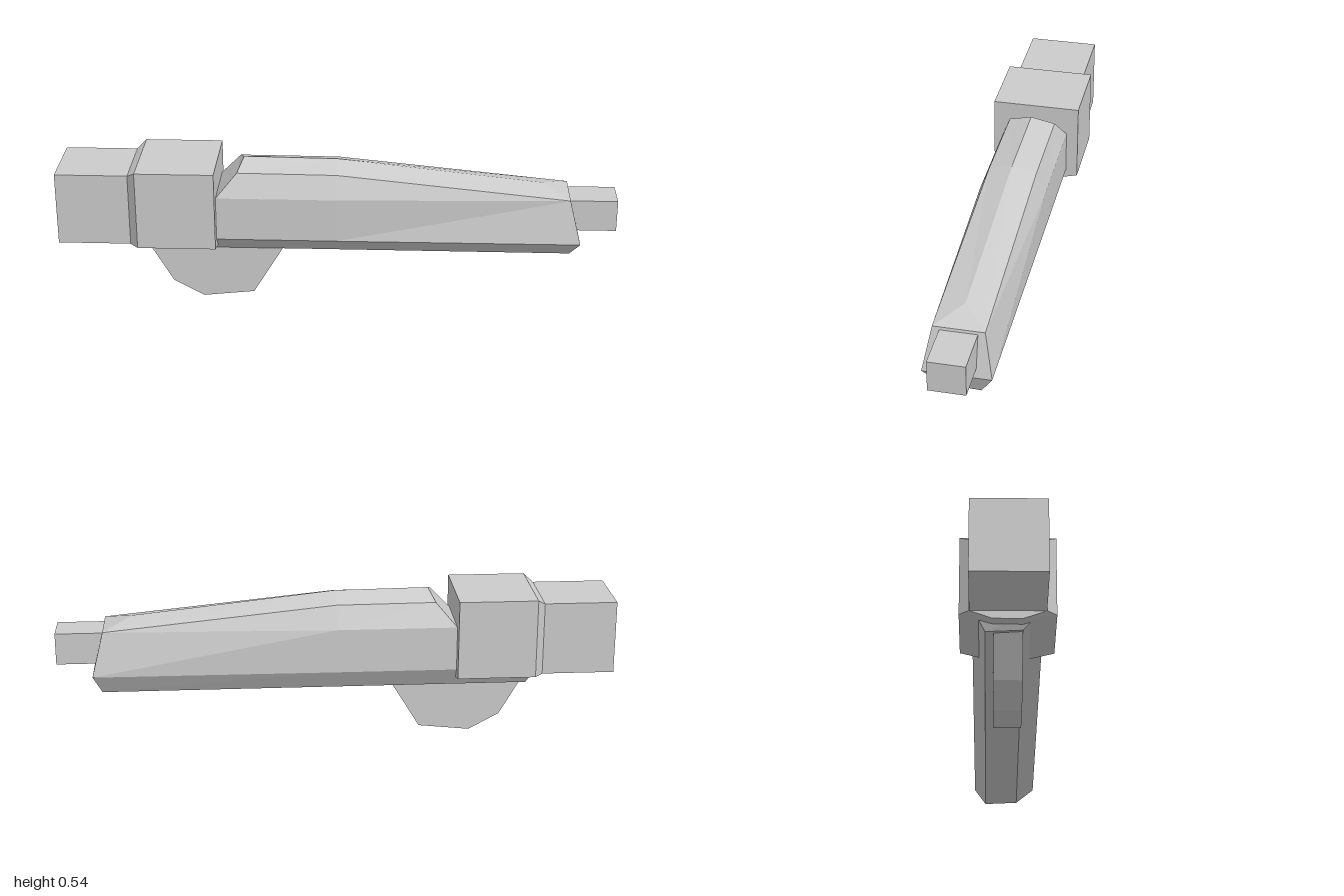
import * as THREE from 'three';

const material = new THREE.MeshStandardMaterial({ color: 0xcccccc, flatShading: true });

// Skins rings of [x, y, z] points that run from -x to +x, with both ends capped.
function loft(rings) {
  const n = rings[0].length;
  const pos = [];
  const tri = (a, b, c) => pos.push(...a, ...b, ...c);
  for (let i = 0; i < rings.length - 1; i++) {
    const r = rings[i], s = rings[i + 1];
    for (let k = 0; k < n; k++) {
      const m = (k + 1) % n;
      tri(r[k], r[m], s[k]);
      tri(r[m], s[m], s[k]);
    }
  }
  const first = rings[0], last = rings[rings.length - 1];
  for (let a = 0, b = n - 1; b - a > 1; a++, b--) {
    tri(last[a], last[a + 1], last[b]);
    tri(first[a], first[b], first[a + 1]);
    if (b - a > 2) {
      tri(last[a + 1], last[b - 1], last[b]);
      tri(first[a + 1], first[b], first[b - 1]);
    }
  }
  const geo = new THREE.BufferGeometry();
  geo.setAttribute('position', new THREE.Float32BufferAttribute(pos, 3));
  geo.computeVertexNormals();
  return geo;
}

// Ring for the long body: ridge, then shoulder, upper side and lower side mirrored, with an uneven keel.
function bodyRing(ridge, shoulder, high, low, keelX) {
  const side = [shoulder, high, low];
  return [
    [...ridge, 0],
    ...side,
    [keelX, 0.2, 0.05],
    [keelX, 0.194, -0.075],
    ...side.map(([x, y, z]) => [x, y, -z]).reverse(),
  ];
}

// Ring for the housing: square top and shallow sloping underside.
function housingRing(x, top, w) {
  return [
    [x, top, -w], [x, top, w], [x, 0.245, w],
    [x, 0.217, 0.05], [x, 0.217, -0.05], [x, 0.245, -w],
  ];
}

export function createModel() {
  const group = new THREE.Group();
  const add = (name, geo, x = 0, y = 0, z = 0) => {
    const mesh = new THREE.Mesh(geo, material);
    mesh.name = name;
    mesh.position.set(x, y, z);
    group.add(mesh);
  };
  const box = (name, x0, x1, y0, y1, w) =>
    add(name, new THREE.BoxGeometry(x1 - x0, y1 - y0, w * 2), (x0 + x1) / 2, (y0 + y1) / 2, 0);

  // Faceted body, its underside running back beneath the housing
  add('body', loft([
    bodyRing([-0.335, 0.54], [-0.355, 0.51, 0.085], [-0.43, 0.425, 0.118], [-0.72, 0.265, 0.118], -0.69),
    bodyRing([0, 0.536], [0, 0.508, 0.086], [0, 0.425, 0.118], [0, 0.265, 0.118], 0),
    bodyRing([0.73, 0.457], [0.83, 0.425, 0.088], [0.83, 0.424, 0.088], [0.87, 0.267, 0.118], 0.84),
  ]));

  // Square housing with a bevelled rear edge
  add('housing', loft([
    housingRing(-0.74, 0.51, 0.128),
    housingRing(-0.71, 0.533, 0.161),
    housingRing(-0.43, 0.533, 0.161),
  ]));

  // Rear block and front tip
  box('rearBlock', -1, -0.74, 0.245, 0.51, 0.127);
  box('tip', 0.8, 1, 0.3, 0.415, 0.064);

  // Flat fin below
  const fin = new THREE.Shape([
    [-0.73, 0.25], [-0.68, 0.2], [-0.6, 0.062], [-0.49, 0.002],
    [-0.305, 0.022], [-0.2, 0.196], [-0.2, 0.25],
  ].map(([x, y]) => new THREE.Vector2(x, y)));
  add('fin', new THREE.ExtrudeGeometry(fin, { depth: 0.096, bevelEnabled: false }), 0, 0, -0.047);

  return group;
}
